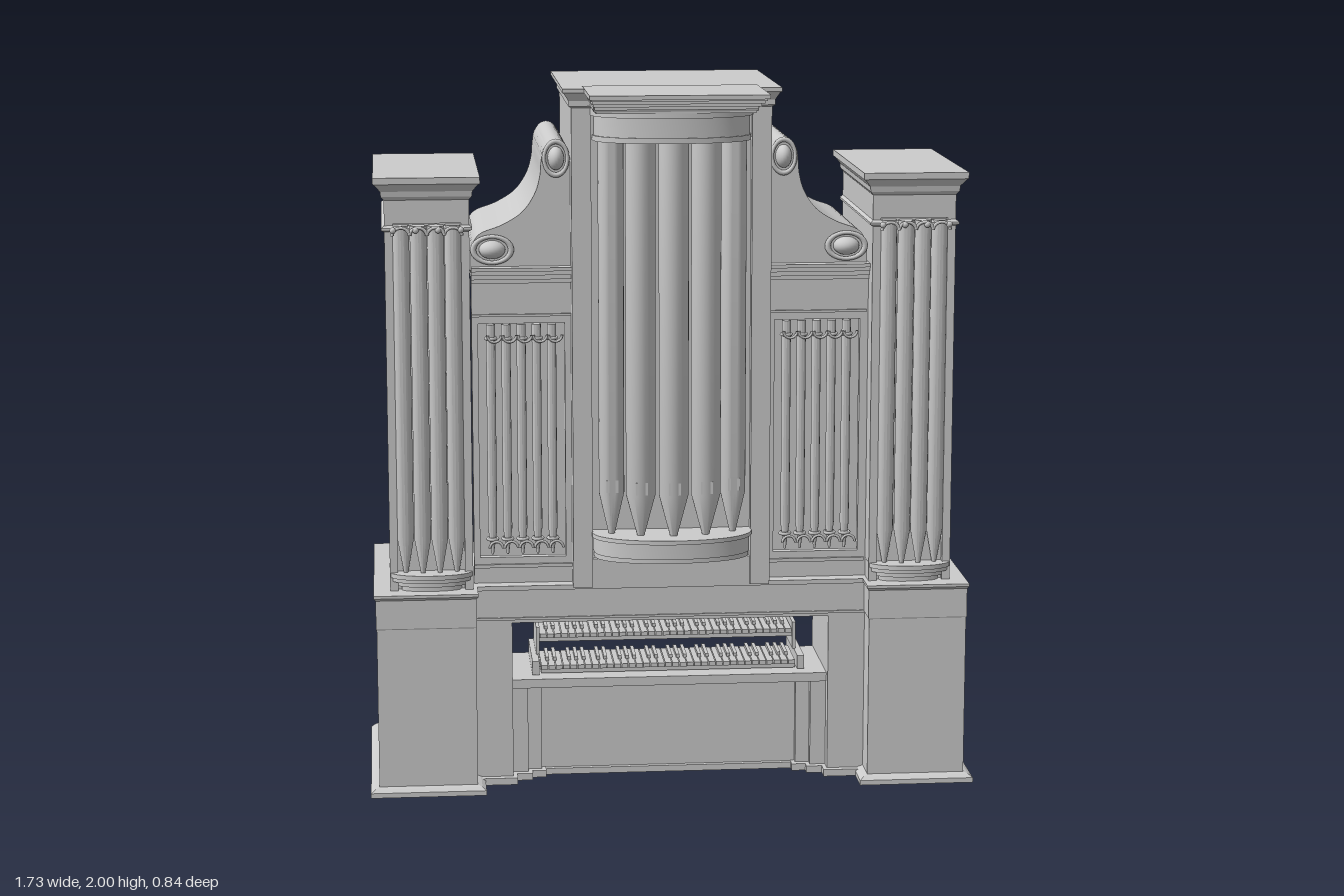
import * as THREE from 'three';
import { toCreasedNormals } from 'three/addons/utils/BufferGeometryUtils.js';

const mat = new THREE.MeshStandardMaterial({ color: 0xcccccc, side: THREE.DoubleSide });
const BACK = -0.42;

export function createModel() {
  const root = new THREE.Group();
  root.name = 'pipeOrgan';

  const add = (name, geo, x = 0, y = 0, z = 0) => {
    const m = new THREE.Mesh(geo, mat);
    m.name = name;
    m.position.set(x, y, z);
    root.add(m);
    return m;
  };
  // Box given by its limits
  const box = (name, x0, x1, y0, y1, z0, z1) =>
    add(name, new THREE.BoxGeometry(Math.abs(x1 - x0), y1 - y0, z1 - z0), (x0 + x1) / 2, (y0 + y1) / 2, (z0 + z1) / 2);

  // Three-sided casing, open at the back; profile rows are [outward offset, y]
  const shell = (name, xa, xb, zf, profile, cap = true) => {
    const x0 = Math.min(xa, xb), x1 = Math.max(xa, xb), pos = [];
    const ring = ([o, y]) => [[x0 - o, y, BACK], [x0 - o, y, zf + o], [x1 + o, y, zf + o], [x1 + o, y, BACK]];
    const quad = (a, b, c, d) => pos.push(...a, ...b, ...c, ...a, ...c, ...d);
    for (let k = 0; k + 1 < profile.length; k++) {
      const lo = ring(profile[k]), hi = ring(profile[k + 1]);
      for (let i = 0; i < 3; i++) quad(lo[i], lo[i + 1], hi[i + 1], hi[i]);
    }
    if (cap) quad(...ring(profile[profile.length - 1]));
    const g = new THREE.BufferGeometry();
    g.setAttribute('position', new THREE.Float32BufferAttribute(pos, 3));
    g.computeVertexNormals();
    return add(name, g);
  };

  // Slab with a bowed front, standing on y0
  const bow = (name, xc, hw, zb, zf, y0, y1) => {
    const s = new THREE.Shape(), d = zf - zb;
    s.moveTo(-hw, 0.1);
    for (let i = 0; i <= 24; i++) {
      const t = Math.PI * (1 - i / 24);
      s.lineTo(hw * Math.cos(t), -d * Math.pow(Math.sin(t), 0.8));
    }
    s.lineTo(hw, 0.1);
    const g = new THREE.ExtrudeGeometry(s, { depth: y1 - y0, bevelEnabled: false });
    g.rotateX(-Math.PI / 2);
    return add(name, toCreasedNormals(g, 0.5), xc, y0, zb);
  };

  // Organ pipe: tapered foot, then a straight body
  const pipe = (name, x, z, y0, yFoot, y1, r, seg = 18) => {
    const pts = [[r * 0.25, y0], [r, yFoot], [r, y1], [0, y1]].map(p => new THREE.Vector2(...p));
    add(name, toCreasedNormals(new THREE.LatheGeometry(pts, seg), 0.6), x, 0, z);
  };

  // ---- Centre: casing, stiles, bowed bay with five pipes, cornice
  shell('centreCasing', -0.28, 0.28, 0.135, [[0, 0.58], [0, 1.96]]);
  shell('centreFrieze', -0.28, 0.28, 0.155, [[0, 1.86], [0, 1.95]], false);
  shell('centreCornice', -0.28, 0.28, 0.165, [[0, 1.945], [0.008, 1.95], [0.008, 1.965], [0.02, 1.985], [0.025, 1.988], [0.025, 1.999]]);
  shell('bayCornice', -0.225, 0.225, 0.3, [[0, 1.945], [0.01, 1.95], [0.02, 1.965], [0.03, 1.968], [0.07, 1.985], [0.12, 1.988], [0.12, 1.99]].map(([o, y]) => [o * 0.17, y]), false);
  // The bay cornice reaches further forward than sideways
  [[0.3, 1.94, 1.952], [0.32, 1.952, 1.962], [0.345, 1.962, 1.972], [0.375, 1.972, 1.982], [0.4, 1.982, 1.988], [0.42, 1.988, 2]]
    .forEach(([z, y0, y1], i) => box('bayCorniceStep', -0.22 - i * 0.005, 0.22 + i * 0.005, y0, y1, 0.1, z));
  box('bayBottomRail', -0.28, 0.28, 0.58, 0.66, 0.12, 0.15);
  for (const s of [-1, 1]) box('centreStile', s * 0.225, s * 0.28, 0.58, 1.95, 0.12, 0.165);
  [[0.22, 0.27, 0.67, 0.685], [0.222, 0.285, 0.685, 0.73], [0.228, 0.297, 0.73, 0.742]]
    .forEach(([w, z, a, b]) => bow('bayFoot', 0, w, 0.15, z, a, b));
  [[0.222, 0.285, 1.855, 1.87], [0.218, 0.28, 1.87, 1.925], [0.228, 0.3, 1.925, 1.945]]
    .forEach(([w, z, a, b]) => bow('bayHead', 0, w, 0.15, z, a, b));
  [-0.172, -0.092, 0, 0.092, 0.172].forEach((x, i) => {
    const off = Math.abs(i - 2), r = off === 2 ? 0.036 : 0.042, z = 0.225 - 1.6 * x * x;
    pipe('bayPipe', x, z, 0.742, 0.86, 1.86, r, 24);
    box('bayPipeMouth', x - 0.017, x + 0.017, 0.865, 0.9, z, z + r * 0.97);
  });

  for (const s of [-1, 1]) {
    // ---- Side tower
    shell('towerCasing', s * 0.565, s * 0.8, 0.155, [[0, 0.58], [0, 1.71]]);
    shell('towerFrieze', s * 0.565, s * 0.8, 0.175, [[0, 1.63], [0, 1.71]], false);
    shell('towerBand', s * 0.565, s * 0.8, 0.177, [[0, 1.607], [0.008, 1.612], [0.008, 1.618], [0, 1.625]], false);
    shell('towerCornice', s * 0.565, s * 0.8, 0.175, [[0, 1.695], [0.008, 1.705], [0.01, 1.72], [0.024, 1.738], [0.03, 1.742], [0.03, 1.76]]);
    for (const [a, b] of [[0.565, 0.588], [0.777, 0.8]]) box('towerStile', s * a, s * b, 0.58, 1.65, 0.14, 0.175);
    [[0.085, 0.19, 0.585, 0.6], [0.1, 0.205, 0.6, 0.613], [0.113, 0.215, 0.613, 0.625], [0.118, 0.226, 0.625, 0.638]]
      .forEach(([w, z, a, b]) => bow('towerCorbel', s * 0.6825, w, 0.155, z, a, b));
    [-0.072, -0.024, 0.024, 0.072].forEach((d, i) => {
      pipe('towerPipe', s * 0.6825 + d, i % 3 ? 0.18 : 0.168, 0.635, 0.735, 1.625, 0.0235);
      // Carved garland over the pipes
      const curl = add('towerGarland', new THREE.TorusGeometry(0.024, 0.005, 6, 14, Math.PI), s * 0.6825 + d, 1.6, 0.207);
      curl.scale.y = 0.9;
      add('towerRosette', new THREE.SphereGeometry(0.009, 10, 8), s * 0.6825 + d * 1.3, 1.615, 0.207);
    });

    // ---- Middle field: framed opening with slender pipes
    const X = s * 0.42;
    const frame = new THREE.Shape([[-0.14, 0.58], [0.145, 0.58], [0.145, 1.46], [-0.14, 1.46]].map(p => new THREE.Vector2(...p)));
    frame.holes.push(new THREE.Path([[-0.122, 0.66], [-0.122, 1.335], [0.122, 1.335], [0.122, 0.66]].map(p => new THREE.Vector2(...p))));
    add('fieldFrame', new THREE.ExtrudeGeometry(frame, { depth: 0.025, bevelEnabled: false }), X, 0, 0.08);
    box('fieldBack', X - 0.14, X + 0.14, 0.6, 1.4, 0.055, 0.06);
    box('fieldBead', X - 0.14, X + 0.14, 1.355, 1.362, 0.09, 0.112);
    box('fieldSill', X - 0.14, X + 0.14, 0.63, 0.64, 0.09, 0.112);
    box('fieldRoof', X - 0.14, X + 0.14, 1.462, 1.472, BACK, 0.1);
    [[0.115, 1.45, 1.462], [0.125, 1.462, 1.475], [0.135, 1.475, 1.487], [0.142, 1.487, 1.497]]
      .forEach(([z, a, b]) => box('fieldCornice', X - 0.14, X + 0.145, a, b, 0.08, z));
    for (let i = -2; i <= 2; i++) {
      const x = X + i * 0.043;
      pipe('fieldPipe', x, 0.085, 0.665, 0.74, 1.33, 0.013, 12);
      for (const y of [0.71, 1.29]) {
        const ring = add('fieldCollar', new THREE.TorusGeometry(0.014, 0.005, 6, 12), x, y, 0.085);
        ring.rotation.x = Math.PI / 2;
      }
    }
    // Carved scrollwork across the slender pipes
    for (let i = -2; i < 3; i++) for (const [y, flip] of [[0.685, 1], [1.3, -1]]) {
      const arc = add('fieldCarving', new THREE.TorusGeometry(0.019, 0.004, 6, 12, Math.PI), X + i * 0.043 + 0.01, y, 0.1);
      arc.scale.y = flip;
    }

    // ---- Scrolled shoulder: front panel, curved sheet running back, rolls and bosses
    const curve = new THREE.SplineCurve([[0.56, 1.53], [0.553, 1.565], [0.53, 1.592], [0.47, 1.615], [0.415, 1.65], [0.38, 1.7], [0.365, 1.75], [0.36, 1.8], [0.345, 1.84], [0.32, 1.853], [0.295, 1.84], [0.28, 1.8]]
      .map(([x, y]) => new THREE.Vector2(s * x, y)));
    const edge = curve.getPoints(60);
    const panel = new THREE.Shape([new THREE.Vector2(s * 0.28, 1.49), new THREE.Vector2(s * 0.56, 1.49), ...edge]);
    add('shoulderPanel', new THREE.ExtrudeGeometry(panel, { depth: 0.02, bevelEnabled: false, curveSegments: 1 }), 0, 0, 0.085);
    const sheet = new THREE.PlaneGeometry(1, 1, 60, 1), p = sheet.attributes.position;
    for (let i = 0; i < p.count; i++) {
      const e = edge[i % 61];
      p.setXYZ(i, e.x, e.y, i < 61 ? BACK : 0.1);
    }
    if (s > 0) sheet.setIndex([...sheet.index.array].reverse());
    sheet.computeVertexNormals();
    add('shoulderSheet', sheet);
    const roll = add('shoulderRoll', new THREE.CylinderGeometry(0.04, 0.04, 0.53, 24, 1, true), s * 0.32, 1.8, -0.155);
    roll.rotation.x = Math.PI / 2;
    roll.scale.z = 1.25;
    for (const [x, y, a, b] of [[0.32, 1.8, 0.033, 0.047], [0.5, 1.545, 0.053, 0.037]]) {
      const rim = add('shoulderRim', new THREE.TorusGeometry(1, 0.16, 10, 32), s * x, y, 0.11);
      rim.scale.set(a, b, 0.05);
      const boss = add('shoulderBoss', new THREE.SphereGeometry(1, 20, 14), s * x, y, 0.108);
      boss.scale.set(a * 0.7, b * 0.7, 0.035);
    }

    // ---- Lower case: end block and stepped jambs, each on a plinth
    shell('endBlock', s * 0.56, s * 0.84, 0.228, [[0, 0], [0, 0.485], [0.002, 0.488], [0.002, 0.57], [0.007, 0.577], [0.007, 0.585]]);
    shell('endPlinth', s * 0.56, s * 0.84, 0.23, [[0.024, 0], [0.024, 0.014], [0.012, 0.022], [0, 0.026]], false);
    box('endFloor', s * 0.56, s * 0.84, 0, 0.015, BACK, 0.228);
    for (const [a, b, z, top] of [[0.455, 0.56, 0.14, 0.49], [0.41, 0.455, 0.1, 0.27], [0.37, 0.41, 0.075, 0.27]]) {
      box('jamb', s * a, s * b, 0, top, 0.04, z);
      box('jambPlinth', s * (a - 0.012), s * b, 0, 0.02, 0.04, z + 0.02);
    }
    box('recessCheek', s * 0.455, s * 0.465, 0.25, 0.49, -0.2, 0.1);
    box('keyCheek', s * 0.375, s * 0.395, 0.3, 0.34, -0.19, 0.07);
    box('upperKeyCheek', s * 0.37, s * 0.38, 0.34, 0.42, -0.19, -0.01);
  }

  // ---- Centre of the lower case
  box('centreFloor', -0.56, 0.56, 0, 0.018, BACK, 0.07);
  box('kneePanel', -0.37, 0.37, 0, 0.27, 0.04, 0.055);
  box('centreFrame', -0.56, 0.56, 0.475, 0.575, 0.115, 0.14);
  box('centreFrameBead', -0.56, 0.56, 0.484, 0.491, 0.13, 0.145);
  box('deck', -0.56, 0.56, 0.572, 0.585, BACK, 0.148);
  box('keyDesk', -0.455, 0.455, 0.272, 0.298, -0.19, 0.11);

  // ---- Two manuals with naturals and sharps
  [[0.302, -0.1, 0.06], [0.375, -0.19, -0.02]].forEach(([y, z0, z1]) => {
    box('keyBed', -0.37, 0.37, y, y + 0.012, z0, z1);
    const n = 35, w = 0.74 / n;
    for (let i = 0; i < n; i++) {
      const x = -0.37 + i * w;
      box('natural', x + 0.0012, x + w - 0.0012, y + 0.012, y + 0.024, z0, z1 + 0.005);
      if (i && i % 7 !== 0 && i % 7 !== 3) box('sharp', x - 0.005, x + 0.005, y + 0.024, y + 0.034, z0, z1 - 0.05);
    }
  });
  return root;
}
